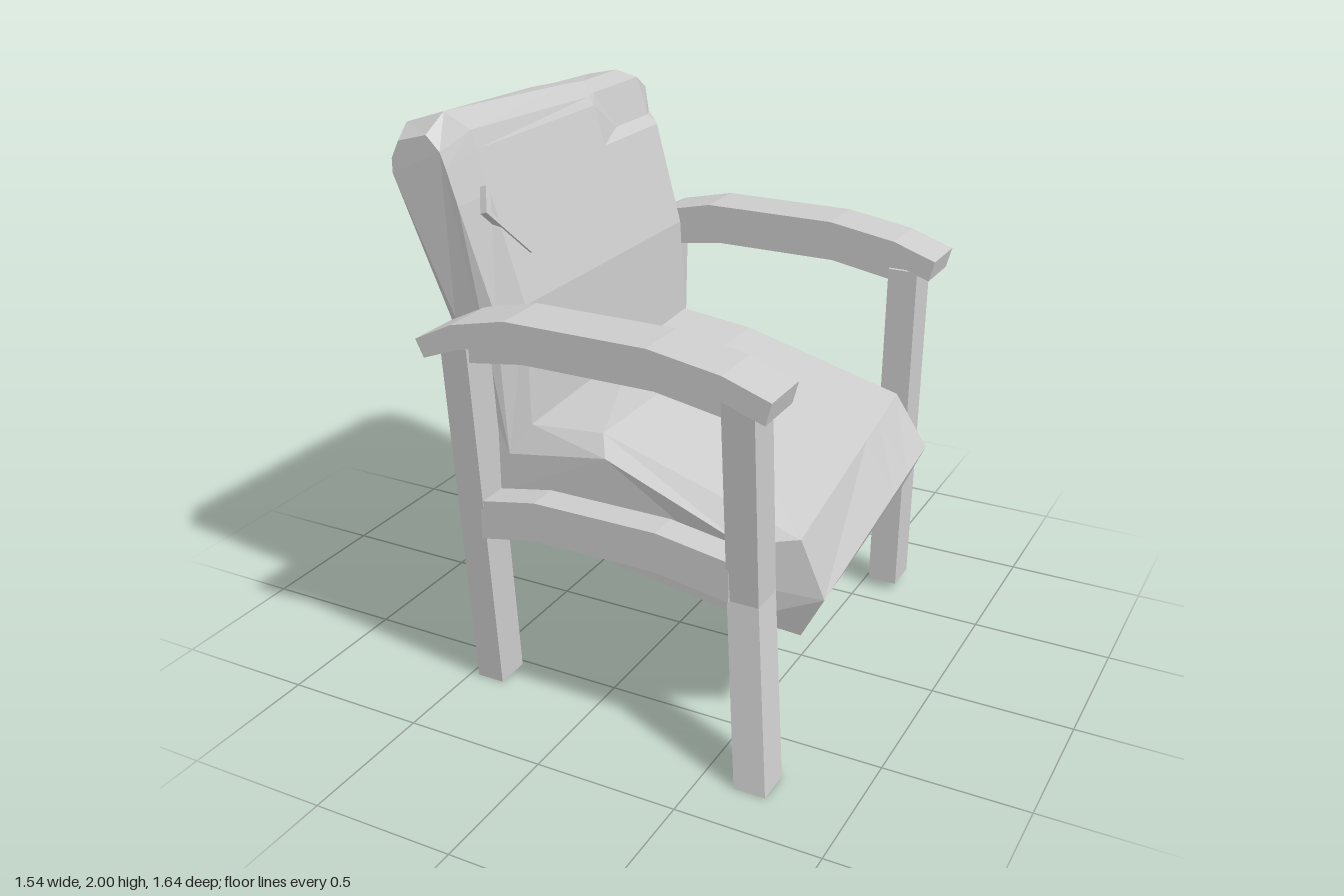
import * as THREE from 'three';

const material = new THREE.MeshStandardMaterial({ color: 0xcccccc, flatShading: true });

// Skins a row of equal-length [x, y, z] loops and closes both ends.
// flat picks the two axes in which the end caps are triangulated.
function loft(name, loops, flat) {
  const n = loops[0].length;
  const points = loops.flat();
  const index = [];
  for (let s = 0; s < loops.length - 1; s++) {
    for (let i = 0; i < n; i++) {
      const j = (i + 1) % n;
      const a = s * n + i, b = s * n + j;
      index.push(a, b, b + n, a, b + n, a + n);
    }
  }
  [0, loops.length - 1].forEach((s, end) => {
    const outline = loops[s].map(p => new THREE.Vector2(p[flat[0]], p[flat[1]]));
    const sign = Math.sign(THREE.ShapeUtils.area(outline));
    for (const [a, b, c] of THREE.ShapeUtils.triangulateShape(outline, [])) {
      const same = Math.sign(THREE.ShapeUtils.area([outline[a], outline[b], outline[c]])) === sign;
      const t = same === (end === 1) ? [a, b, c] : [a, c, b];
      index.push(...t.map(k => k + s * n));
    }
  });
  // Turn the skin outward when its volume comes out negative.
  const v = points.map(p => new THREE.Vector3(...p));
  let volume = 0;
  for (let k = 0; k < index.length; k += 3) {
    volume += v[index[k]].dot(new THREE.Vector3().crossVectors(v[index[k + 1]], v[index[k + 2]]));
  }
  if (volume < 0) index.reverse();
  const indexed = new THREE.BufferGeometry().setFromPoints(v);
  indexed.setIndex(index);
  const geometry = indexed.toNonIndexed();
  geometry.computeVertexNormals();
  const mesh = new THREE.Mesh(geometry, material);
  mesh.name = name;
  return mesh;
}

// A bent bar: upper and lower [x, y] edges swept across from z0 to z1.
function bar(name, top, bottom, z0, z1, lift = 0) {
  const outline = [...top, ...[...bottom].reverse()];
  return loft(name, [z0, z1].map(z => outline.map(([x, y]) => [x, y + lift, z])), [0, 1]);
}

// A leg through rectangular stations [y, x0, x1, z0, z1].
function leg(name, stations) {
  return loft(name, stations.map(([y, x0, x1, z0, z1]) =>
    [[x0, y, z0], [x1, y, z0], [x1, y, z1], [x0, y, z1]]), [0, 2]);
}

// Seat and backrest as one worn cushion body, lofted from side to side.
function cushion() {
  const left = [
    [-0.58, 0.61, 0.53], [-0.58, 1.3, 0.54], [-0.77, 1.8, 0.53], [-0.77, 1.86, 0.53],
    [-0.72, 1.95, 0.53], [-0.57, 2.0, 0.53], [-0.47, 1.95, 0.53], [-0.45, 1.89, 0.53],
    [-0.405, 1.75, 0.53], [-0.29, 1.39, 0.53], [-0.27, 0.98, 0.55], [0, 1.0, 0.54],
    [0.7, 0.77, 0.52], [0.77, 0.55, 0.48], [0.68, 0.38, 0.45]];
  const leftSide = [
    [-0.51, 0.66, 0.6], [-0.52, 1.33, 0.6], [-0.72, 1.8, 0.62], [-0.72, 1.85, 0.62],
    [-0.69, 1.91, 0.62], [-0.58, 1.94, 0.62], [-0.53, 1.89, 0.62], [-0.51, 1.84, 0.62],
    [-0.47, 1.72, 0.62], [-0.36, 1.36, 0.6], [-0.33, 0.88, 0.6], [0.04, 0.94, 0.6],
    [0.53, 0.75, 0.6], [0.56, 0.6, 0.58], [0.53, 0.47, 0.57]];
  const right = [
    [-0.58, 0.62, -0.57], [-0.58, 1.3, -0.56], [-0.77, 1.78, -0.6], [-0.77, 1.83, -0.6],
    [-0.71, 1.91, -0.6], [-0.58, 1.94, -0.59], [-0.49, 1.92, -0.59], [-0.45, 1.78, -0.6],
    [-0.405, 1.75, -0.59], [-0.29, 1.39, -0.56], [-0.27, 1.04, -0.56], [0, 1.0, -0.58],
    [0.61, 0.84, -0.58], [0.735, 0.65, -0.58], [0.65, 0.46, -0.58]];
  const rightSide = [
    [-0.51, 0.66, -0.63], [-0.52, 1.33, -0.62], [-0.72, 1.78, -0.71], [-0.72, 1.81, -0.71],
    [-0.69, 1.86, -0.71], [-0.58, 1.88, -0.71], [-0.52, 1.86, -0.71], [-0.5, 1.77, -0.7],
    [-0.47, 1.74, -0.69], [-0.36, 1.36, -0.62], [-0.33, 0.95, -0.63], [0.04, 0.95, -0.63],
    [0.53, 0.81, -0.63], [0.62, 0.65, -0.62], [0.56, 0.5, -0.62]];
  const between = t => right.map((p, i) => p.map((c, k) => c + (left[i][k] - c) * t));
  // The top front edge is pressed in beyond the middle.
  const dent = between(0.21);
  dent[5][1] = 1.94;
  dent[6] = [-0.49, 1.92, -0.27];
  dent[7] = [-0.45, 1.78, -0.36];
  const rim = between(0.35);
  rim[4][1] = 1.93;
  rim[5] = [-0.57, 1.955, -0.2];
  rim[6] = [-0.47, 1.92, -0.2];
  rim[7] = [-0.45, 1.89, -0.2];
  return loft('cushion', [rightSide, right, dent, rim, left, leftSide], [0, 1]);
}

// Small raised tear with a hollow centre on the backrest.
function tear() {
  const corner = ([z, y]) => new THREE.Vector2(-z, y);
  const shape = new THREE.Shape([[0.55, 0.12], [0.42, 0.04], [0.42, -0.14], [0.59, 0.04]].map(corner));
  shape.holes.push(new THREE.Path([[0.54, 0.09], [0.44, 0.025], [0.44, -0.1], [0.565, 0.035]].map(corner)));
  const geometry = new THREE.ExtrudeGeometry(shape, { depth: 0.025, bevelEnabled: false });
  geometry.rotateX(-0.31).rotateY(Math.PI / 2).translate(-0.395, 1.66, 0);
  const mesh = new THREE.Mesh(geometry, material);
  mesh.name = 'backrestTear';
  return mesh;
}

export function createModel() {
  const group = new THREE.Group();
  group.name = 'armchair';
  group.add(cushion(), tear());

  const armTop = [[-0.54, 1.32], [-0.4, 1.39], [-0.2, 1.435], [0.3, 1.435], [0.55, 1.395], [0.71, 1.34]];
  const armBottom = [[-0.51, 1.26], [-0.38, 1.31], [-0.19, 1.35], [0.29, 1.35], [0.53, 1.32], [0.69, 1.265]];
  const apronTop = [[-0.45, 1.29], [-0.19, 1.355], [0.29, 1.355], [0.62, 1.3]];
  const apronBottom = [[-0.45, 1.24], [-0.37, 1.25], [-0.17, 1.28], [0.3, 1.28], [0.53, 1.24], [0.62, 1.24]];
  const railTop = [[-0.38, 0.74], [-0.17, 0.78], [0.28, 0.78], [0.54, 0.74]];
  const railBottom = railTop.map(([x, y]) => [x, y - 0.14]);

  // Armrest, curved apron below it and lower side rail, on each side
  for (const side of [1, -1]) {
    const name = side > 0 ? 'left' : 'right';
    const shift = side > 0 ? 0 : -0.025;
    const lift = side > 0 ? 0 : 0.015;
    const z = d => side * d + shift;
    group.add(
      bar(name + 'Armrest', armTop, armBottom, z(0.6), z(0.795), lift),
      bar(name + 'ArmApron', apronTop, apronBottom, z(0.63), z(0.745), lift),
      bar(name + 'SideRail', railTop, railBottom, z(0.6), z(0.71), lift / 2));
  }

  // Legs; the left front one is snapped outward below the rail
  group.add(
    leg('leftRearLeg', [[0, -0.47, -0.37, 0.52, 0.65], [1.3, -0.47, -0.37, 0.63, 0.76]]),
    leg('leftFrontLeg', [[0, 0.62, 0.73, 0.69, 0.82], [0.6, 0.53, 0.64, 0.57, 0.7],
      [1.3, 0.53, 0.64, 0.63, 0.76]]),
    leg('rightRearLeg', [[0.03, -0.47, -0.37, -0.73, -0.6], [1.3, -0.47, -0.37, -0.78, -0.64]]),
    leg('rightFrontLeg', [[0.03, 0.53, 0.64, -0.73, -0.6], [1.3, 0.53, 0.64, -0.78, -0.64]]));
  return group;
}
